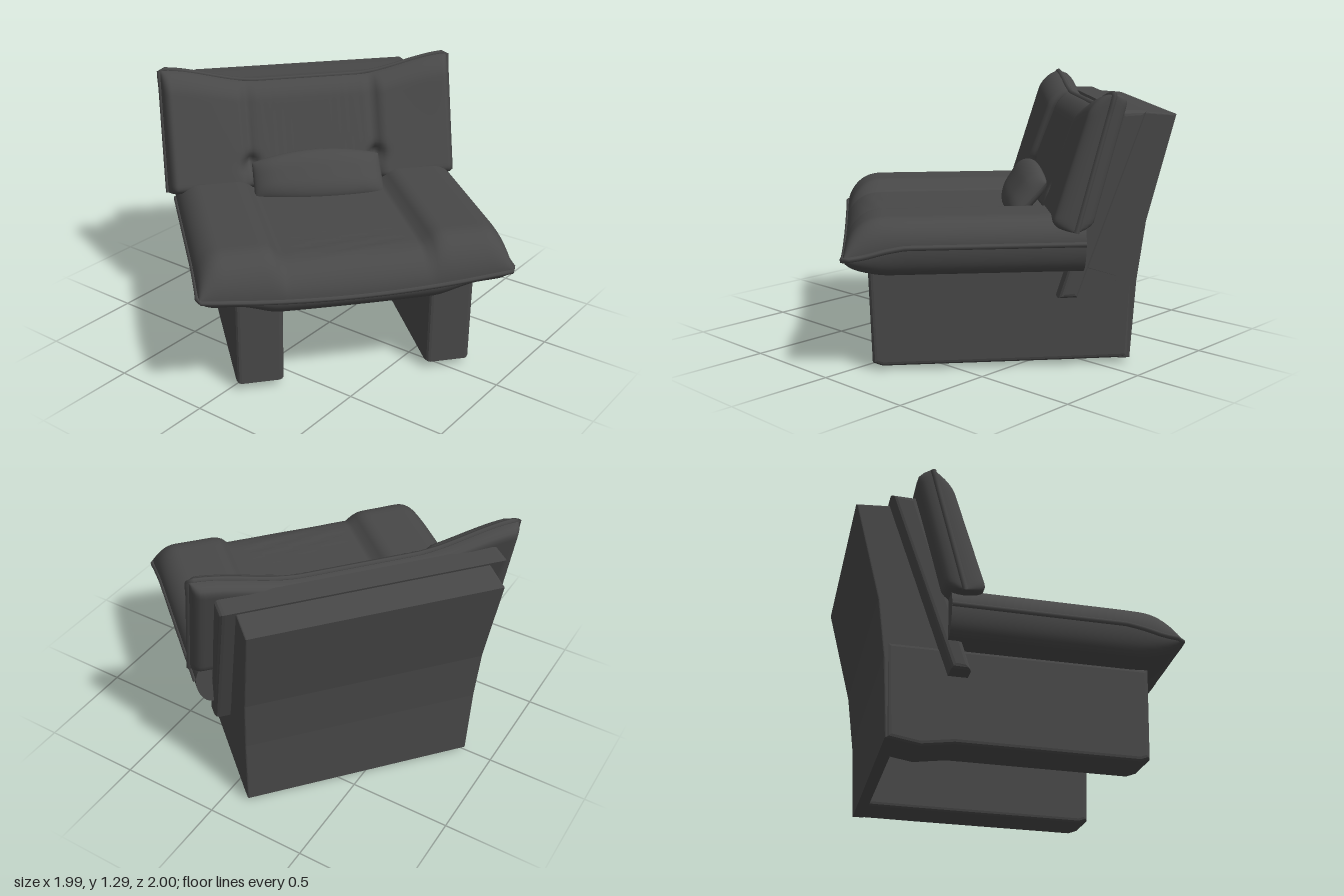
import * as THREE from 'three';

const leather = new THREE.MeshStandardMaterial({ color: 0x484848 });
leather.name = 'charcoal leather';

const { smoothstep, lerp } = THREE.MathUtils;
const bump = (x, centre, width) => Math.exp(-(((x - centre) / width) ** 2));
// quarter-round rise from an edge: 0 at the edge, 1 once d reaches r
const round = (d, r) => (d >= r ? 1 : Math.sqrt(Math.max(0, 1 - (1 - d / r) ** 2)));

function add(parent, name, geometry) {
  const mesh = new THREE.Mesh(geometry, leather);
  mesh.name = name;
  parent.add(mesh);
  return mesh;
}

// Smooth sheet from a rule point(s, t), with s and t in -1..1 and rows packed near the edges
function sheet(point, flip, n = 72, m = 48) {
  const pos = [], index = [];
  for (let i = 0; i <= n; i++) {
    for (let j = 0; j <= m; j++) {
      const s = Math.sin((i / n - 0.5) * Math.PI), t = Math.sin((j / m - 0.5) * Math.PI);
      pos.push(...point(s, t));
      if (i < n && j < m) {
        const a = i * (m + 1) + j, b = a + m + 1, c = b + 1, d = a + 1;
        if (flip) index.push(a, c, b, a, d, c);
        else index.push(a, b, c, a, c, d);
      }
    }
  }
  const g = new THREE.BufferGeometry();
  g.setAttribute('position', new THREE.Float32BufferAttribute(pos, 3));
  g.setIndex(index);
  g.computeVertexNormals();
  return g;
}

// Side profile of [z, y] points, extruded across the chair from x0 to x1
function slab(profile, x0, x1, bevel = 0.015) {
  const shape = new THREE.Shape(profile.map(([z, y]) => new THREE.Vector2(z, y)));
  const g = new THREE.ExtrudeGeometry(shape, {
    depth: x1 - x0 - 2 * bevel, bevelEnabled: true, bevelSize: bevel,
    bevelThickness: bevel, bevelOffset: -bevel, bevelSegments: 3,
  });
  g.rotateY(-Math.PI / 2);
  g.translate(x1 - bevel, 0, 0);
  return g;
}

function piping(points, radius) {
  const curve = new THREE.CatmullRomCurve3(points.map((p) => new THREE.Vector3(...p)), false, 'catmullrom', 0.2);
  return new THREE.TubeGeometry(curve, 90, radius, 6);
}

// --- Seat: one wide cushion whose sides form low arms ---
const SEAT = { half: 0.738, back: -0.41, front: 0.667, seam: 0.335 };
const seatU = (s) => s * SEAT.half;
const seatW = (t) => lerp(SEAT.back, SEAT.front, (t + 1) / 2);
const rimY = (u, w) => 0.61 - smoothstep(w, 0.38, 0.67) * (0.05 + 0.05 * (1 - (u / SEAT.half) ** 2));

function seatTop(s, t) {
  const u = seatU(s), w = seatW(t), a = Math.abs(u), rim = rimY(u, w);
  const height = lerp(0.675, 0.73, smoothstep(a, 0.3, 0.42));
  const f = round(SEAT.half - a, 0.12) * round(SEAT.front - w, 0.18);
  const groove = 0.018 * bump(a, SEAT.seam, 0.016) * f;
  const middle = 1 - smoothstep(a, 0.2, 0.33);
  const wrinkle = 0.004 * middle * bump(w, 0.42, 0.14) * Math.sin(w * 75 + u * 14);
  return [u, rim + (height - rim) * f - groove + wrinkle, w];
}

function seatUnder(s, t) {
  const u = seatU(s), a = Math.abs(u), w = seatW(t), rim = rimY(u, w);
  const low = lerp(0.4, 0.472, smoothstep(a, 0.36, 0.58));
  const f = round(SEAT.half - a, 0.08) * round(SEAT.front - w, 0.21);
  return [u, rim + (low - rim) * f, w];
}

function buildSeat(chair) {
  const seat = new THREE.Group();
  seat.name = 'seat';
  chair.add(seat);
  add(seat, 'seatAndArmsTop', sheet(seatTop, true));
  add(seat, 'seatUnderside', sheet(seatUnder, false));
  // closing face at the rear of the cushion
  add(seat, 'seatRear', sheet((s, t) => {
    const top = seatTop(s, -1), low = seatUnder(s, -1);
    return [top[0], lerp(low[1], top[1], (t + 1) / 2), SEAT.back];
  }, true, 72, 4));
  const rim = [];
  for (let i = 0; i <= 12; i++) rim.push([-SEAT.half, lerp(SEAT.back, SEAT.front, i / 12)]);
  for (let i = 1; i < 12; i++) rim.push([lerp(-SEAT.half, SEAT.half, i / 12), SEAT.front]);
  for (let i = 12; i >= 0; i--) rim.push([SEAT.half, lerp(SEAT.back, SEAT.front, i / 12)]);
  add(seat, 'seatPiping', piping(rim.map(([u, w]) => [u, rimY(u, w), w]), 0.012));
}

// --- Back cushion: two raised wings and a gathered middle ---
const BACK = { half: 0.765, low: 0.665, seam: 0.335 };
const backTop = (u) => 1.19 + 0.085 * smoothstep(Math.abs(u), 0.26, 0.76);
function backRim(s, t) {
  const v = (t + 1) / 2, u = s * BACK.half * (1 - 0.005 * v);
  return [u, lerp(BACK.low, backTop(u), v), lerp(-0.36, -0.52, v)];
}
function backFront(s, t) {
  const [u, y, w] = backRim(s, t), a = Math.abs(u), v = (t + 1) / 2;
  const f = round(1 - Math.abs(s), 0.06) * round(1 - v, 0.16) * round(v, 0.1);
  const middle = 1 - smoothstep(a, 0.28, 0.38);
  const dent = 0.025 * bump(a, BACK.seam, 0.025) + 0.05 * bump(a, BACK.seam, 0.04) * bump(v, 0.26, 0.07) + 0.02 * middle;
  const gather = 0.005 * bump(a, 0.25, 0.08) * Math.sin(u * 150 + v * 5) * smoothstep(v, 0.2, 0.5);
  return [u, y, w + (lerp(0.115, 0.085, v) - dent + gather) * f];
}
function backRear(s, t) {
  const [u, y, w] = backRim(s, t);
  return [u, y, w - 0.075 * round(1 - Math.abs(s), 0.06) * round(1 - Math.abs(t), 0.15)];
}

function buildBack(chair) {
  const back = new THREE.Group();
  back.name = 'backCushion';
  back.position.x = -0.012;
  chair.add(back);
  add(back, 'backCushionFront', sheet(backFront, false, 110, 48));
  add(back, 'backCushionRear', sheet(backRear, true, 40, 24));
  const edge = [];
  for (let i = 0; i <= 8; i++) edge.push(backRim(-1, i / 4 - 1));
  for (let i = 1; i < 16; i++) edge.push(backRim(i / 8 - 1, 1));
  for (let i = 8; i >= 0; i--) edge.push(backRim(1, i / 4 - 1));
  add(back, 'backPiping', piping(edge, 0.013));

  // soft lumbar roll that rests on the seat against the back, a little fuller on its left
  const lumbar = (puff) => (s, t) => {
    const v = (t + 1) / 2, bow = 1 - s * s;
    const f = round(1 - Math.abs(s), 0.35) * round(1 - Math.abs(t), 0.7);
    return [s * 0.335, lerp(0.655, 0.82 + 0.05 * bow, v) + puff * 0.5 * f,
      lerp(-0.17 + 0.04 * bow + 0.03 * s, -0.29, v) + puff * 0.7 * f];
  };
  add(back, 'lumbarFront', sheet(lumbar(0.06), false, 32, 24));
  add(back, 'lumbarRear', sheet(lumbar(-0.06), true, 32, 24));
}

// --- Shell: side plinths, upright and the padded board behind the cushion ---
function buildShell(chair) {
  const shell = new THREE.Group();
  shell.name = 'shell';
  chair.add(shell);
  const front = [[-0.35, 0.022], [0.5, 0.018], [0.545, 0.035], [0.56, 0.48], [-0.67, 0.48]];
  add(shell, 'rightPlinth', slab([[-0.65, 0.025], [-0.5, 0], ...front], -0.566, -0.34, 0.022));
  add(shell, 'leftPlinth', slab([[-0.65, 0.025], ...front], 0.365, 0.582, 0.022));
  // the back face stands nearly straight below and leans away above
  const upright = slab([[-0.655, 0.025], [-0.678, 0.4], [-0.715, 0.68], [-0.84, 1.17], [-0.67, 1.185],
    [-0.41, 0.47], [-0.57, 0.42], [-0.6, 0.025]], -0.578, 0.578, 0.008);
  // slight widening towards the top
  const p = upright.attributes.position;
  for (let i = 0; i < p.count; i++) p.setX(i, p.getX(i) * (0.983 + 0.017 * p.getY(i)) + 0.01);
  upright.computeVertexNormals();
  add(shell, 'upright', upright);
  add(shell, 'backBoard', slab([[-0.3, 0.34], [-0.39, 0.34], [-0.69, 1.195], [-0.57, 1.195]], -0.655, 0.66, 0.025));
}

export function createModel() {
  const model = new THREE.Group();
  model.name = 'armchair';
  const chair = new THREE.Group();
  chair.name = 'turnedChair';
  chair.rotation.y = THREE.MathUtils.degToRad(-40.7);
  model.add(chair);
  buildSeat(chair);
  buildBack(chair);
  buildShell(chair);
  return model;
}
